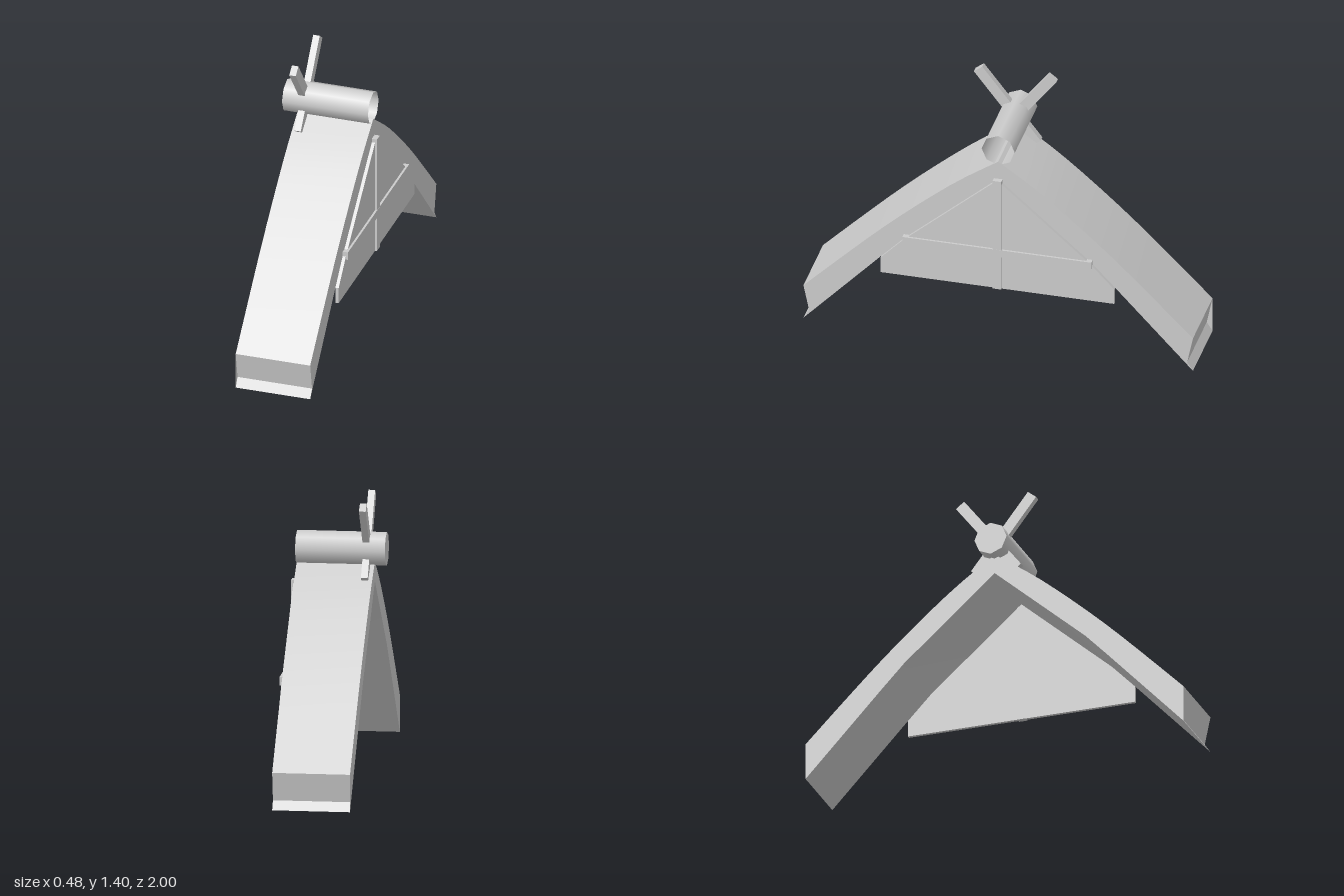
import * as THREE from 'three';
import { toCreasedNormals } from 'three/addons/utils/BufferGeometryUtils.js';

const material = new THREE.MeshStandardMaterial({ color: 0xcccccc, side: THREE.DoubleSide });

export function createModel() {
  const model = new THREE.Group();

  const add = (name, geometry, x = 0, y = 0, z = 0) => {
    const mesh = new THREE.Mesh(geometry, material);
    mesh.name = name;
    mesh.position.set(x, y, z);
    model.add(mesh);
    return mesh;
  };
  const toShape = (points) => new THREE.Shape(points.map(([z, y]) => new THREE.Vector2(z, y)));
  // Extrude a side profile (z, y) along x
  const extrudeX = (points, depth) => toCreasedNormals(
    new THREE.ExtrudeGeometry(toShape(points), { depth, bevelEnabled: false }).rotateY(Math.PI / 2), 0.5);
  // Complete half a profile, listed from the ridge outward and back, by mirroring it
  const mirrored = (half) => [...half, ...half.slice(1, -1).reverse().map(([z, y]) => [-z, y])];

  // Curved roof with recessed eave ends
  const outer = new THREE.SplineCurve(
    [[0, 1.07], [0.2, 0.93], [0.4, 0.765], [0.6, 0.585], [0.8, 0.39], [1, 0.19]]
      .map(([z, y]) => new THREE.Vector2(z, y))).getPoints(12).map((p) => [p.x, p.y]);
  const halfRoof = [...outer, [0.97, 0.045], [1, 0], [0.6, 0.425], [0.48, 0.55], [0, 0.97]];
  // The mirrored half runs back along the underside, then up over the far end
  add('roof', extrudeX(mirrored(halfRoof), 0.39), -0.18);

  // Thin cheeks closing the eave recess on one side
  for (const s of [1, -1]) {
    const cheek = toShape([[s, 0.19], [s * 0.97, 0.045], [s, 0]]);
    add('eaveCheek', new THREE.ShapeGeometry(cheek).rotateY(Math.PI / 2), -0.18);
  }

  // Gable panel with crossed battens
  add('gablePanel', extrudeX(mirrored([[0, 0.97], [0.48, 0.55], [0.6, 0.425], [0.6, 0.34], [0, 0.34]]), 0.017), 0.21);
  add('gablePost', new THREE.BoxGeometry(0.028, 0.63, 0.045), 0.223, 0.655, 0);
  add('gableRail', new THREE.BoxGeometry(0.028, 0.042, 0.97), 0.224, 0.549, 0);

  // Ridge log: hollow, open on the gable side
  const tube = new THREE.CylinderGeometry(0.085, 0.085, 0.45, 8, 1, true).rotateZ(Math.PI / 2);
  add('ridgeLog', tube, -0.015, 1.135, 0);
  const cap = new THREE.CircleGeometry(0.085, 8).rotateY(-Math.PI / 2);
  add('ridgeLogCap', cap, -0.24, 1.135, 0);

  // Crossed finial beams
  for (const s of [1, -1]) {
    const beam = add('finialBeam', new THREE.BoxGeometry(0.034, 0.49, 0.055), -0.143, 1.187, s * 0.04);
    beam.rotation.x = s * Math.atan2(0.3, 0.387);
  }

  return model;
}
